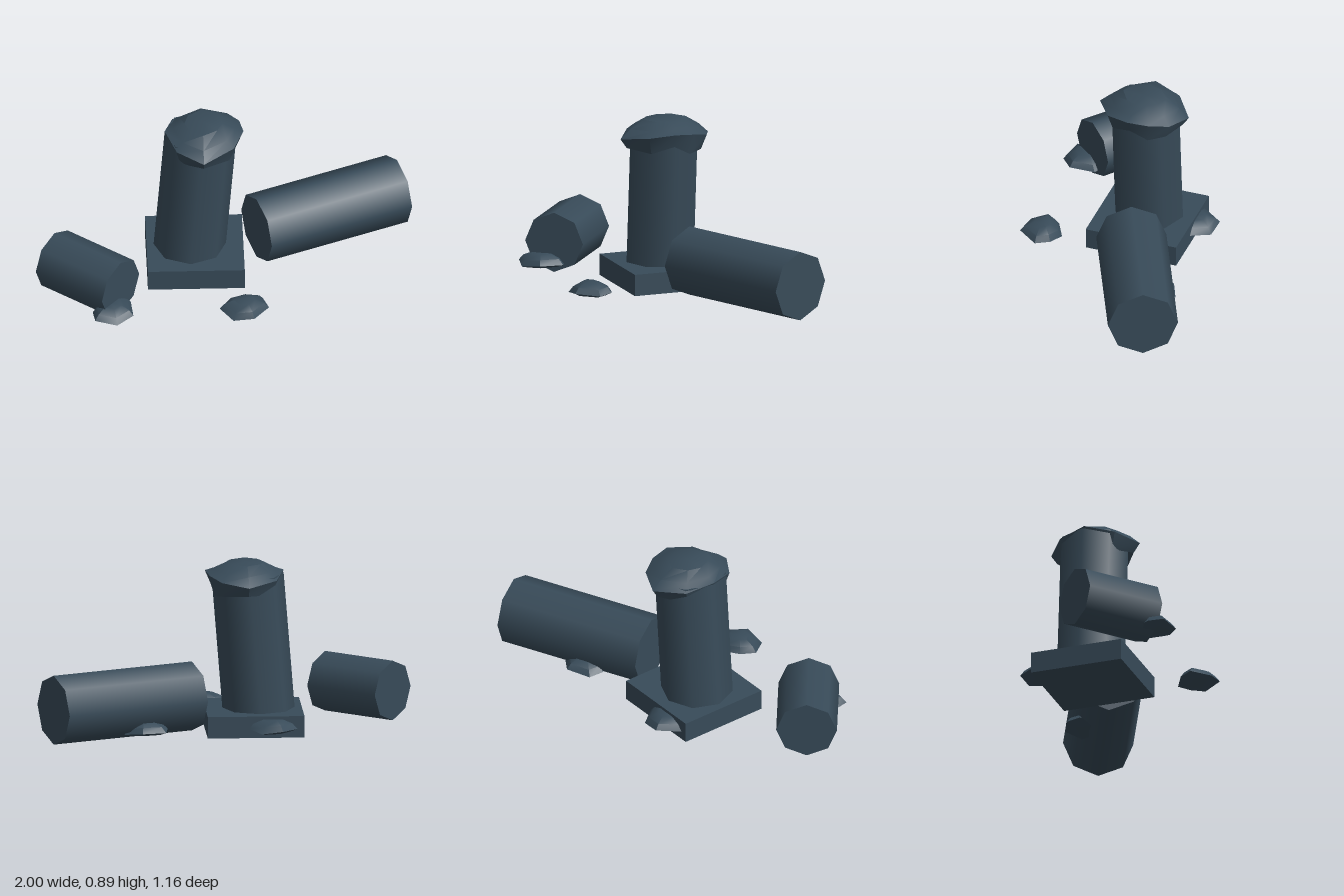
import * as THREE from 'three';
import { toCreasedNormals } from 'three/addons/utils/BufferGeometryUtils.js';

// Skin a stack of equal-length loops from bottom to top, closing both ends
function loft(rings) {
  const pos = [];
  const tri = (...pts) => pts.forEach((p) => pos.push(...p));
  const mid = (ring) => [0, 1, 2].map((k) => ring.reduce((s, p) => s + p[k], 0) / ring.length);
  const n = rings[0].length, last = rings[rings.length - 1];
  for (let i = 0; i < n; i++) {
    const j = (i + 1) % n;
    for (let r = 0; r + 1 < rings.length; r++) {
      const a = rings[r], b = rings[r + 1];
      tri(a[i], b[i], a[j]);
      tri(a[j], b[i], b[j]);
    }
    tri(mid(rings[0]), rings[0][i], rings[0][j]);
    tri(mid(last), last[j], last[i]);
  }
  const g = new THREE.BufferGeometry();
  g.setAttribute('position', new THREE.Float32BufferAttribute(pos, 3));
  return toCreasedNormals(g, 0.6);
}

export function createModel() {
  const model = new THREE.Group();
  const stone = new THREE.MeshStandardMaterial({ color: 0x384b59 });
  stone.name = 'slate stone';

  const add = (name, geometry, x, y, z) => {
    const mesh = new THREE.Mesh(geometry, stone);
    mesh.name = name;
    mesh.position.set(x, y, z);
    model.add(mesh);
    return mesh;
  };

  // Standing column, leaning on its square plinth
  add('plinth', new THREE.BoxGeometry(0.51, 0.115, 0.505), -0.155, 0.0575, -0.05);
  add('column', new THREE.CylinderGeometry(0.19, 0.19, 0.75, 8), -0.155, 0.45, -0.05).rotation.z = -0.08;

  // Broken top: irregular rim [x, y, z] with a jagged underside
  const cx = -0.115, cz = -0.05;
  const rim = [
    [0.1, 0.85, -0.03], [0.045, 0.83, 0.1], [-0.115, 0.8, 0.2], [-0.255, 0.82, 0.11], [-0.315, 0.85, -0.04],
    [-0.27, 0.82, -0.19], [-0.12, 0.8, -0.295], [0.02, 0.82, -0.235], [0.08, 0.84, -0.14],
  ];
  const under = [0.78, 0.74, 0.75, 0.73, 0.78, 0.74, 0.75, 0.74, 0.73];
  const scaled = (s, y) => rim.map((p, i) => [cx + (p[0] - cx) * s, y(p, i), cz + (p[2] - cz) * s]);
  add('brokenTop', loft([
    scaled(0.7, () => 0.78),
    scaled(0.86, (p, i) => under[i]),
    rim,
    scaled(0.78, (p) => p[1] * 0.3 + 0.61),
    scaled(0.48, () => 0.895),
  ]), 0, 0, 0);

  // Fallen drums lying on the ground
  const drum = (name, r, length, x, z, turn) => {
    const g = new THREE.CylinderGeometry(r, r, length, 8).rotateZ(Math.PI / 2);
    add(name, g, x, r, z).rotation.y = turn;
  };
  drum('longFallenDrum', 0.185, 0.82, 0.545, -0.245, 0.42);
  drum('shortFallenDrum', 0.16, 0.44, -0.73, 0.262, -0.69);

  // Low domed rubble stones
  const outline = [[0.13, 0], [0.05, 0.11], [-0.06, 0.105], [-0.13, 0.01], [-0.085, -0.06], [0.01, -0.11], [0.1, -0.075]];
  const ring = (s, y, wobble) => outline.map(([x, z], i) => [x * s, y + wobble * Math.sin(i * 2.3), z * s]);
  const rubble = loft([ring(0.72, 0.033, 0.003), ring(1, 0.046, 0.008), ring(0.8, 0.076, 0.006), ring(0.42, 0.098, 0.003)]);
  [[0.09, 0.445, 0], [-0.605, 0.455, 0.7], [-0.245, -0.295, 3.1], [0.435, -0.305, 2.6]].forEach(([x, z, turn], i) => {
    add(`rubble${i + 1}`, rubble, x, 0, z).rotation.y = turn;
  });

  return model;
}
